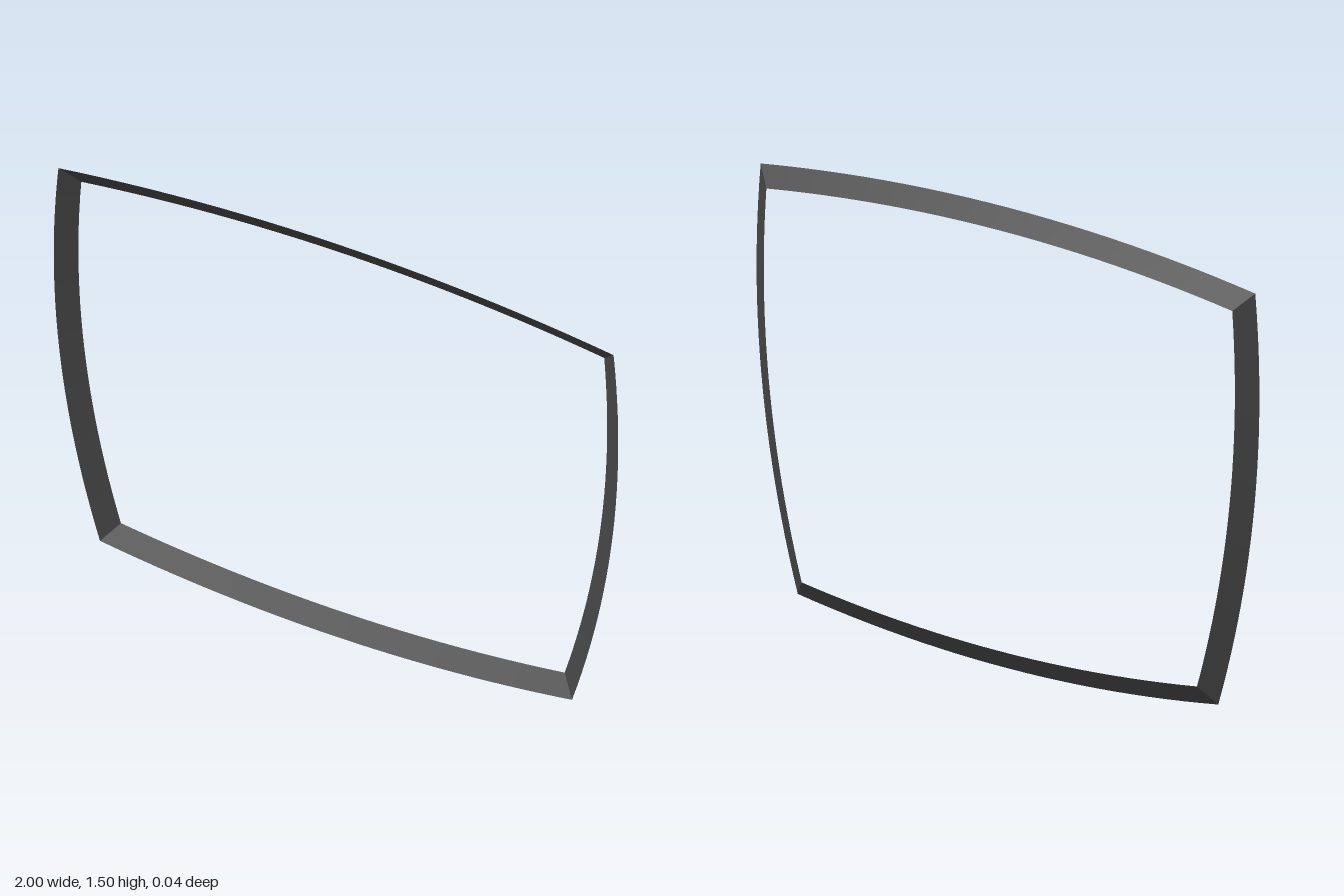
import * as THREE from 'three';

const SEGMENTS = 24;
const FRONT_Z = 0.021, BACK_Z = -0.021;

// Point on a shallow arc from a to b, bulging by the vector (bx, by) at its middle
function arcPoint(a, b, bx, by, t) {
  const w = 4 * t * (1 - t);
  return [a[0] + (b[0] - a[0]) * t + bx * w, a[1] + (b[1] - a[1]) * t + by * w];
}

// Bevelled strip between a wide front arc and a narrower back arc
function strip(name, front, back, material) {
  const geometry = new THREE.PlaneGeometry(1, 1, SEGMENTS, 1);
  const pos = geometry.attributes.position;
  for (let i = 0; i <= SEGMENTS; i++) {
    const f = arcPoint(...front, i / SEGMENTS);
    const b = arcPoint(...back, i / SEGMENTS);
    pos.setXYZ(i, b[0], b[1], BACK_Z);
    pos.setXYZ(i + SEGMENTS + 1, f[0], f[1], FRONT_Z);
  }
  geometry.computeVertexNormals();
  const mesh = new THREE.Mesh(geometry, material);
  mesh.name = name;
  return mesh;
}

export function createModel() {
  const group = new THREE.Group();
  group.name = 'bezelFrame';
  const material = new THREE.MeshStandardMaterial({ color: 0x444444, side: THREE.DoubleSide });

  // Corners of the front (outer) and back (inner) outlines, on the +x side
  const outerTop = [0.982, 1.428], outerBottom = [0.835, 0.063];
  const innerTop = [0.925, 1.37], innerBottom = [0.785, 0.122];
  const mirror = ([x, y]) => [-x, y];

  // Curved top and bottom rails
  group.add(strip('topRail',
    [mirror(outerTop), outerTop, 0, 0.068],
    [mirror(innerTop), innerTop, 0, 0.063], material));
  group.add(strip('bottomRail',
    [outerBottom, mirror(outerBottom), 0, -0.062],
    [innerBottom, mirror(innerBottom), 0, -0.054], material));

  // Bowed side rails
  group.add(strip('leftRail',
    [outerTop, outerBottom, 0.071, 0],
    [innerTop, innerBottom, 0.06, 0], material));
  group.add(strip('rightRail',
    [mirror(outerBottom), mirror(outerTop), -0.071, 0],
    [mirror(innerBottom), mirror(innerTop), -0.06, 0], material));

  return group;
}
